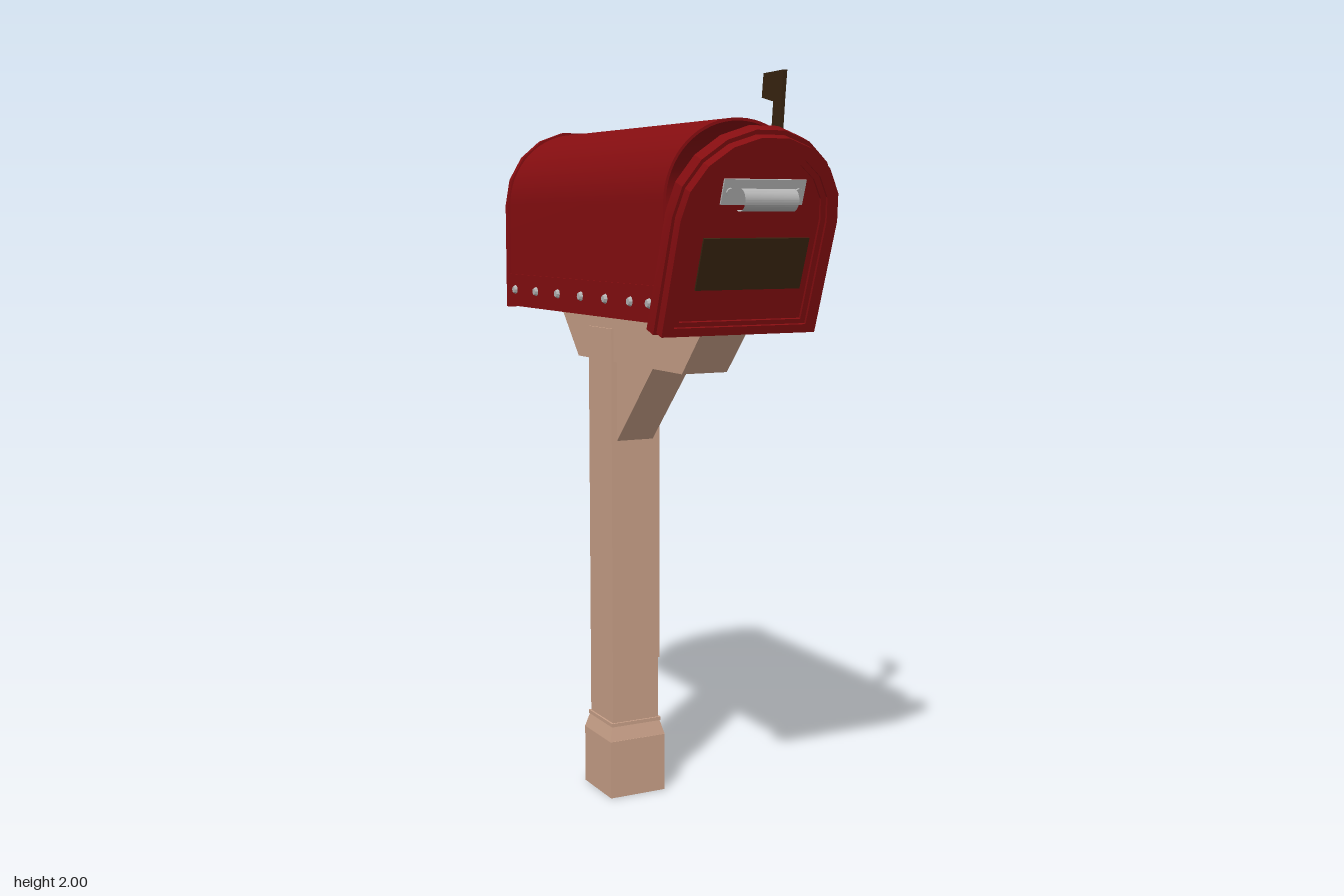
import * as THREE from 'three';
import { toCreasedNormals } from 'three/addons/utils/BufferGeometryUtils.js';

export function createModel() {
  const mat = (name, color, side = THREE.FrontSide) =>
    Object.assign(new THREE.MeshStandardMaterial({ color, side }), { name });
  const red = mat('red paint', 0x850d10);
  const wood = mat('wood', 0xc79f87);
  const brown = mat('dark brown', 0x382410);
  const steel = mat('steel', 0xb4b4b4, THREE.DoubleSide);

  const CX = -0.006; // centre line of the box and post
  const model = new THREE.Group();
  model.name = 'mailbox';

  function add(parent, name, geo, material, x = 0, y = 0, z = 0) {
    const mesh = new THREE.Mesh(toCreasedNormals(geo, 0.35), material);
    mesh.name = name;
    mesh.position.set(x, y, z);
    parent.add(mesh);
    return mesh;
  }
  const box = (parent, name, w, h, d, m, x, y, z) =>
    add(parent, name, new THREE.BoxGeometry(w, h, d), m, x, y, z);

  // Arch outline: straight sides up to the spring line, elliptical top
  function archPoints(hw, y0, spring, top, segs) {
    const pts = [new THREE.Vector2(-hw, y0), new THREE.Vector2(hw, y0)];
    for (let i = 0; i <= segs; i++) {
      const a = Math.PI * i / segs;
      pts.push(new THREE.Vector2(hw * Math.cos(a), spring + (top - spring) * Math.sin(a)));
    }
    return pts;
  }
  // Arch plate or ring between z0 and z1
  function arch(outer, inner, z0, z1) {
    const shape = new THREE.Shape(archPoints(...outer));
    if (inner) shape.holes.push(new THREE.Path(archPoints(...inner)));
    return new THREE.ExtrudeGeometry(shape, { depth: z1 - z0, bevelEnabled: false }).translate(0, 0, z0);
  }
  // Side profile given as [z, y] points, extruded across x and centred
  function sideProfile(pts, width) {
    const shape = new THREE.Shape(pts.map(([z, y]) => new THREE.Vector2(-z, y)));
    return new THREE.ExtrudeGeometry(shape, { depth: width, bevelEnabled: false })
      .translate(0, 0, -width / 2).rotateY(Math.PI / 2);
  }
  // Square frustum
  const frustum = (bottom, top, h) =>
    new THREE.CylinderGeometry(top * Math.SQRT2, bottom * Math.SQRT2, h, 4).rotateY(Math.PI / 4);

  // Post with footing and side plate
  const post = new THREE.Group();
  post.name = 'post';
  post.position.set(CX, 0, -0.243);
  model.add(post);
  box(post, 'postShaft', 0.143, 1.13, 0.147, wood, 0, 0.765, 0);
  box(post, 'postFooting', 0.17, 0.165, 0.175, wood, 0, 0.0825, 0);
  add(post, 'footingTaper', frustum(0.086, 0.075, 0.04), wood, 0, 0.185, 0);
  box(post, 'footingCap', 0.154, 0.01, 0.158, wood, 0, 0.21, 0);
  box(post, 'postSidePlate', 0.006, 0.78, 0.135, wood, 0.073, 0.78, 0.006);

  // Cross beam and diagonal brace
  add(model, 'crossBeam',
    sideProfile([[0.36, 1.38], [0.23, 1.24], [-0.4, 1.24], [-0.525, 1.38]], 0.13), wood, CX);
  add(model, 'brace',
    sideProfile([[0.05, 1.24], [-0.17, 1.02], [-0.17, 1.24]], 0.11), wood, CX);

  // Hollow arched box, floor and back plate
  const body = new THREE.Group();
  body.name = 'body';
  body.position.x = CX;
  model.add(body);
  add(body, 'bodyShell',
    arch([0.206, 1.38, 1.665, 1.868, 32], [0.199, 1.39, 1.665, 1.861, 32], -0.56, 0.4), red);
  add(body, 'backPlate', arch([0.213, 1.376, 1.665, 1.876, 9], null, -0.575, -0.556), red);

  // Riveted lower strips on both sides
  const rivetZ = [0.337, 0.234, 0.09, -0.06, -0.21, -0.36, -0.51];
  for (const s of [-1, 1]) {
    box(body, 'sideStrip', 0.008, 0.09, 0.956, red, s * 0.207, 1.425, -0.078);
    for (const z of rivetZ) {
      add(body, 'rivet', new THREE.CylinderGeometry(0.009, 0.013, 0.008, 8).rotateZ(-s * Math.PI / 2),
        steel, s * 0.215, 1.427, z);
    }
  }

  // Half-open door, leaning forward from its lower edge
  const door = new THREE.Group();
  door.name = 'door';
  door.position.set(CX, 1.349, 0.407);
  door.rotation.x = 0.338;
  model.add(door);
  add(door, 'doorFlange',
    arch([0.222, -0.005, 0.29, 0.505, 9], [0.204, 0.014, 0.29, 0.487, 9], -0.065, -0.028), red);
  add(door, 'doorRim',
    arch([0.214, 0, 0.29, 0.494, 9], [0.184, 0.022, 0.29, 0.462, 9], -0.03, 0), red);
  add(door, 'doorStep',
    arch([0.184, 0.022, 0.29, 0.462, 9], [0.17, 0.034, 0.29, 0.447, 9], -0.03, -0.007), red);
  add(door, 'doorPanel', arch([0.172, 0.032, 0.29, 0.449, 9], null, -0.03, -0.014), red);

  // Name plate and pull handle
  box(door, 'namePlate', 0.29, 0.13, 0.006, brown, 0.006, 0.179, -0.012);
  box(door, 'handleBracket', 0.222, 0.062, 0.006, steel, 0, 0.358, -0.012);
  for (const s of [-1, 1]) {
    add(door, 'handleScrew', new THREE.CylinderGeometry(0.011, 0.011, 0.006, 8).rotateX(Math.PI / 2),
      steel, s * 0.092, 0.358, -0.007);
  }
  // Curved grip: open part-cylinder along x
  add(door, 'handleGrip',
    new THREE.CylinderGeometry(0.027, 0.027, 0.146, 16, 1, true, -1.5, 3.4).rotateZ(Math.PI / 2).rotateX(0.3),
    steel, 0, 0.345, 0.008);

  // Signal flag on the left side: mount, pivot, leaning arm and head
  const flag = new THREE.Group();
  flag.name = 'flag';
  flag.position.x = 0.208;
  model.add(flag);
  add(flag, 'flagMount',
    sideProfile([[0.24, 1.657], [0.228, 1.597], [0.135, 1.594], [0.132, 1.659]], 0.012), brown);
  add(flag, 'flagArm',
    sideProfile([[0.252, 2.0], [0.215, 1.63], [0.172, 1.63], [0.203, 1.93]], 0.01), brown, 0.003);
  add(flag, 'flagHead',
    sideProfile([[0.252, 2.0], [0.242, 1.92], [0.2, 1.925], [0.147, 1.937], [0.155, 1.998]], 0.012), brown, 0.003);
  add(flag, 'flagPivot',
    new THREE.CylinderGeometry(0.017, 0.017, 0.022, 10).rotateZ(Math.PI / 2), brown, 0.008, 1.632, 0.193);

  return model;
}
